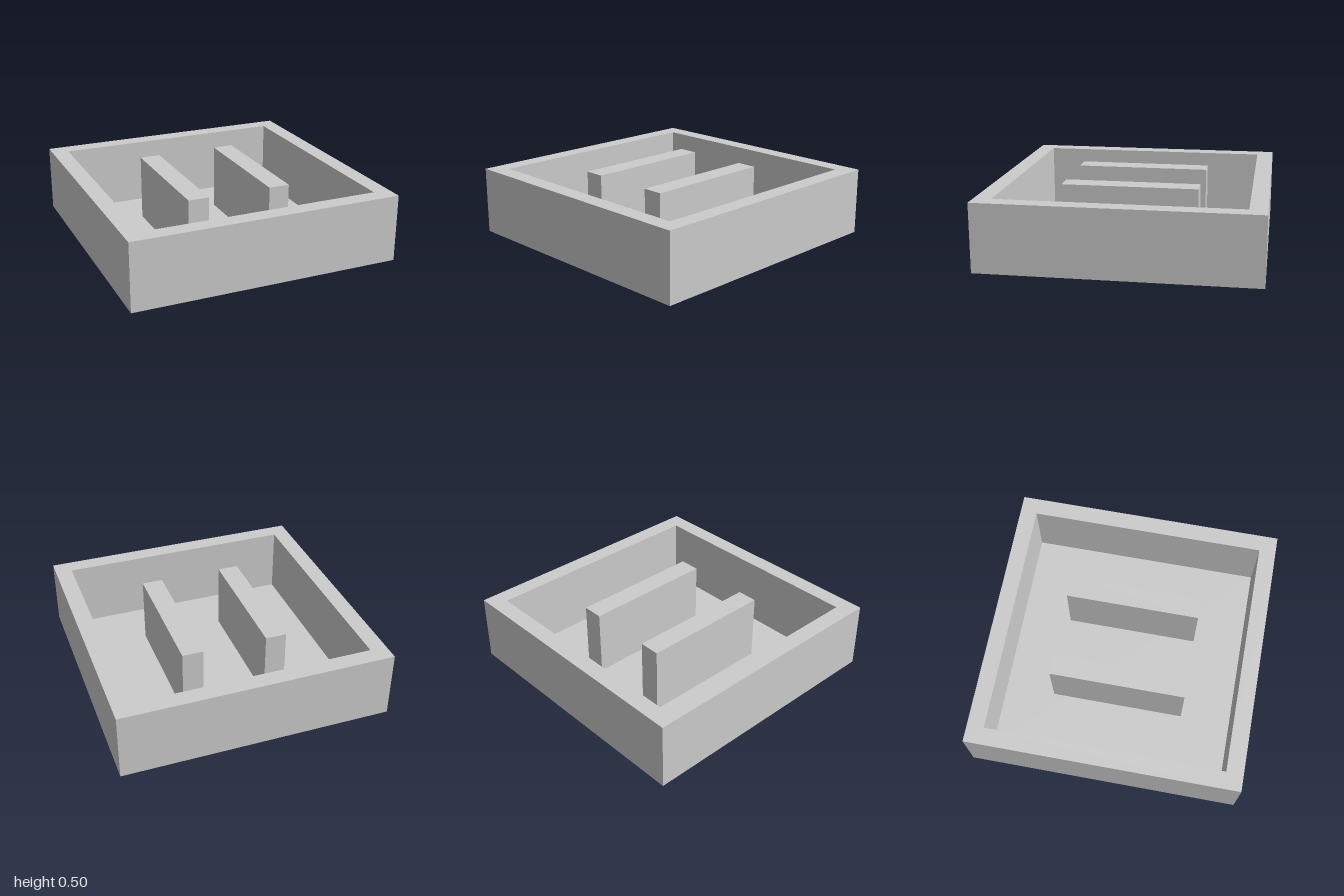
import * as THREE from 'three';

export function createModel() {
  const model = new THREE.Group();
  const material = new THREE.MeshStandardMaterial({
    color: 0xcccccc, flatShading: true, side: THREE.DoubleSide,
  });
  const height = 0.5;

  // Square tray: hollow walls, open underneath, around a thin floor at ground level.
  // Four-sided lathe, so half-widths are scaled out to the corners.
  const profile = [[1, 0], [1, height], [0.875, height], [0.875, 0], [0, 0]]
    .map(([halfWidth, y]) => new THREE.Vector2(halfWidth * Math.SQRT2, y));
  const trayGeometry = new THREE.LatheGeometry(profile, 4, Math.PI / 4).toNonIndexed();
  trayGeometry.computeVertexNormals();
  const tray = new THREE.Mesh(trayGeometry, material);
  tray.name = 'tray';
  model.add(tray);

  // Two upright bars, flush with the rim
  const barGeometry = new THREE.BoxGeometry(0.156, height, 1);
  for (const side of [-1, 1]) {
    const bar = new THREE.Mesh(barGeometry, material);
    bar.name = side > 0 ? 'leftBar' : 'rightBar';
    bar.position.set(side * 0.315, height / 2, 0);
    model.add(bar);
  }
  return model;
}
